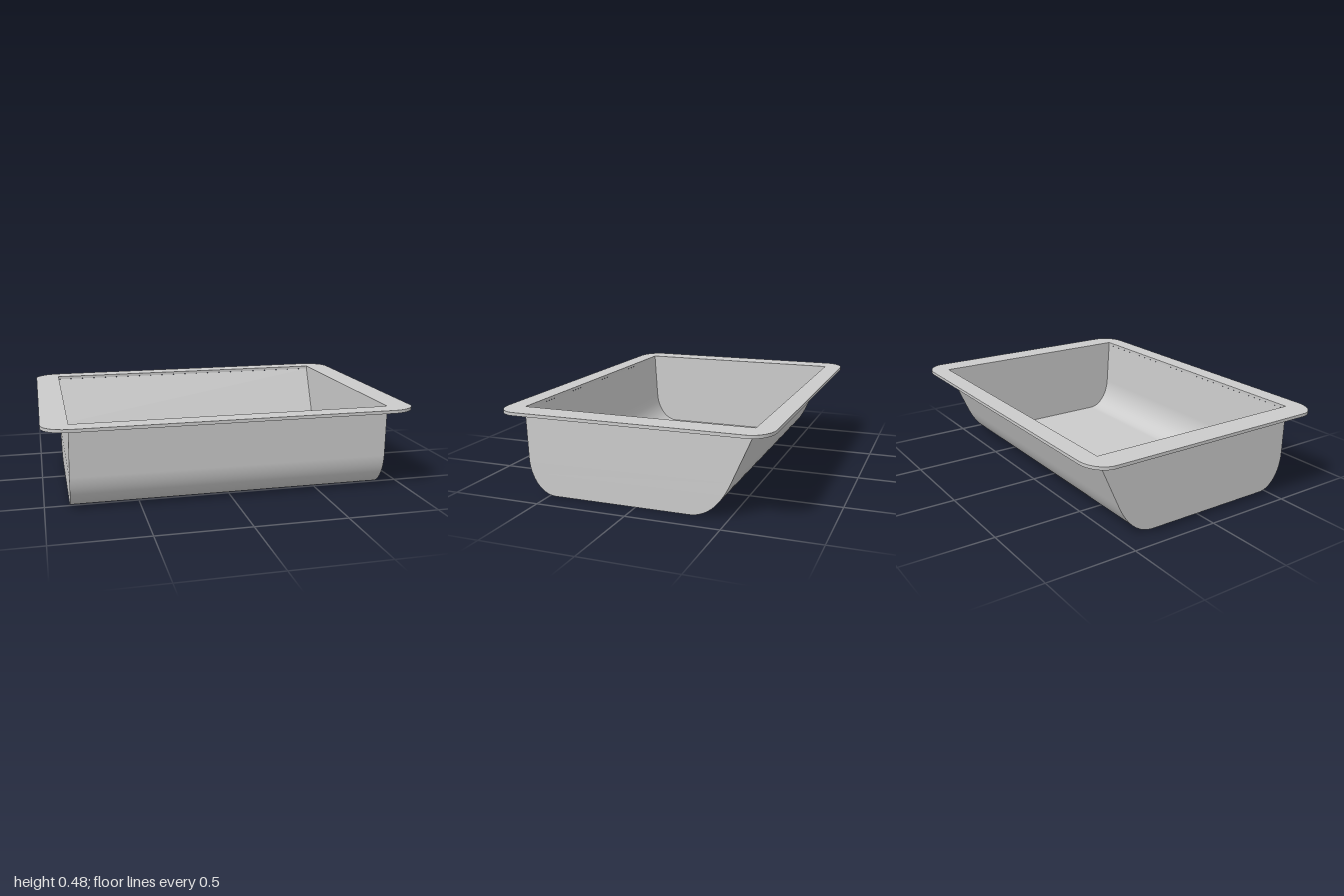
import * as THREE from 'three';
import { toCreasedNormals } from 'three/addons/utils/BufferGeometryUtils.js';

const RIM_BOTTOM = 0.46, RIM_TOP = 0.477;
const OPEN_X = 0.86, OPEN_Z = 0.627;

// Trough cross-section as (z, y) points, front lip to back lip, inset by the wall thickness t
function troughProfile(t) {
  const v = (z, y) => new THREE.Vector2(z, y);
  const path = new THREE.Path();
  path.moveTo(OPEN_Z + 0.003 - t * 0.5, RIM_BOTTOM);
  path.lineTo(0.617 - t, 0.19);
  path.bezierCurveTo(0.61 - t, 0.085, 0.546 - t, t, 0.465, t);
  path.lineTo(-0.29, t);
  path.bezierCurveTo(-0.382 + t, t, -0.456 + t, 0.064, -0.51 + t, 0.19);
  path.lineTo(-OPEN_Z + t * 0.2, RIM_BOTTOM);
  return path.getPoints(20).map(p => v(p.x, p.y));
}

// Curved sheet swept across x between the two end walls
function sweepSheet(profile, halfWidth, outward) {
  const position = [], index = [];
  profile.forEach((p, i) => {
    const w = halfWidth(p.y);
    position.push(-w, p.y, p.x, w, p.y, p.x);
    if (i === 0) return;
    const a = 2 * i - 2, b = a + 1, c = a + 2, d = a + 3;
    if (outward) index.push(a, d, b, a, c, d);
    else index.push(a, b, d, a, d, c);
  });
  const geometry = new THREE.BufferGeometry();
  geometry.setAttribute('position', new THREE.Float32BufferAttribute(position, 3));
  geometry.setIndex(index);
  geometry.computeVertexNormals();
  return geometry;
}

// End wall on the given side (+1 or -1 in x), facing towards +x or -x
function endWall(profile, halfWidth, side, facing) {
  const shape = new THREE.Shape(profile.map(p => new THREE.Vector2(-facing * p.x, p.y)));
  const geometry = new THREE.ShapeGeometry(shape).rotateY(facing * Math.PI / 2);
  const pos = geometry.attributes.position;
  for (let i = 0; i < pos.count; i++) pos.setX(i, side * halfWidth(pos.getY(i)));
  return geometry;
}

// Flat flange with elliptical corners and a rectangular opening
function rimGeometry() {
  const x = 1, z = 0.73, rx = 0.145, rz = 0.115;
  const shape = new THREE.Shape();
  shape.moveTo(x, -z + rz);
  shape.lineTo(x, z - rz);
  shape.absellipse(x - rx, z - rz, rx, rz, 0, Math.PI / 2);
  shape.absellipse(-x + rx, z - rz, rx, rz, Math.PI / 2, Math.PI);
  shape.absellipse(-x + rx, -z + rz, rx, rz, Math.PI, Math.PI * 1.5);
  shape.absellipse(x - rx, -z + rz, rx, rz, Math.PI * 1.5, Math.PI * 2);
  shape.holes.push(new THREE.Path([
    new THREE.Vector2(-OPEN_X, -OPEN_Z), new THREE.Vector2(-OPEN_X, OPEN_Z),
    new THREE.Vector2(OPEN_X, OPEN_Z), new THREE.Vector2(OPEN_X, -OPEN_Z),
  ]));
  const geometry = new THREE.ExtrudeGeometry(shape, {
    depth: RIM_TOP - RIM_BOTTOM, bevelEnabled: false, curveSegments: 16,
  });
  geometry.rotateX(-Math.PI / 2).translate(0, RIM_BOTTOM, 0);
  return toCreasedNormals(geometry, 0.6);
}

export function createModel() {
  const model = new THREE.Group();
  model.name = 'basin';
  const material = new THREE.MeshStandardMaterial({ color: 0xcccccc });
  const add = (geometry, name) => {
    const mesh = new THREE.Mesh(geometry, material);
    mesh.name = name;
    model.add(mesh);
  };

  add(rimGeometry(), 'rim');

  // Outer skin widens slightly below the rim; inner skin is straight
  const outerWidth = y => 0.868 - 0.006 * Math.max(0, (y - 0.19) / (RIM_BOTTOM - 0.19));
  const innerWidth = () => OPEN_X;
  const outer = troughProfile(0), inner = troughProfile(0.007);

  add(sweepSheet(outer, outerWidth, true), 'outerTrough');
  add(sweepSheet(inner, innerWidth, false), 'innerTrough');
  for (const side of [1, -1]) {
    const label = side > 0 ? 'left' : 'right';
    add(endWall(outer, outerWidth, side, side), label + 'OuterWall');
    add(endWall(inner, innerWidth, side, -side), label + 'InnerWall');
  }
  return model;
}
